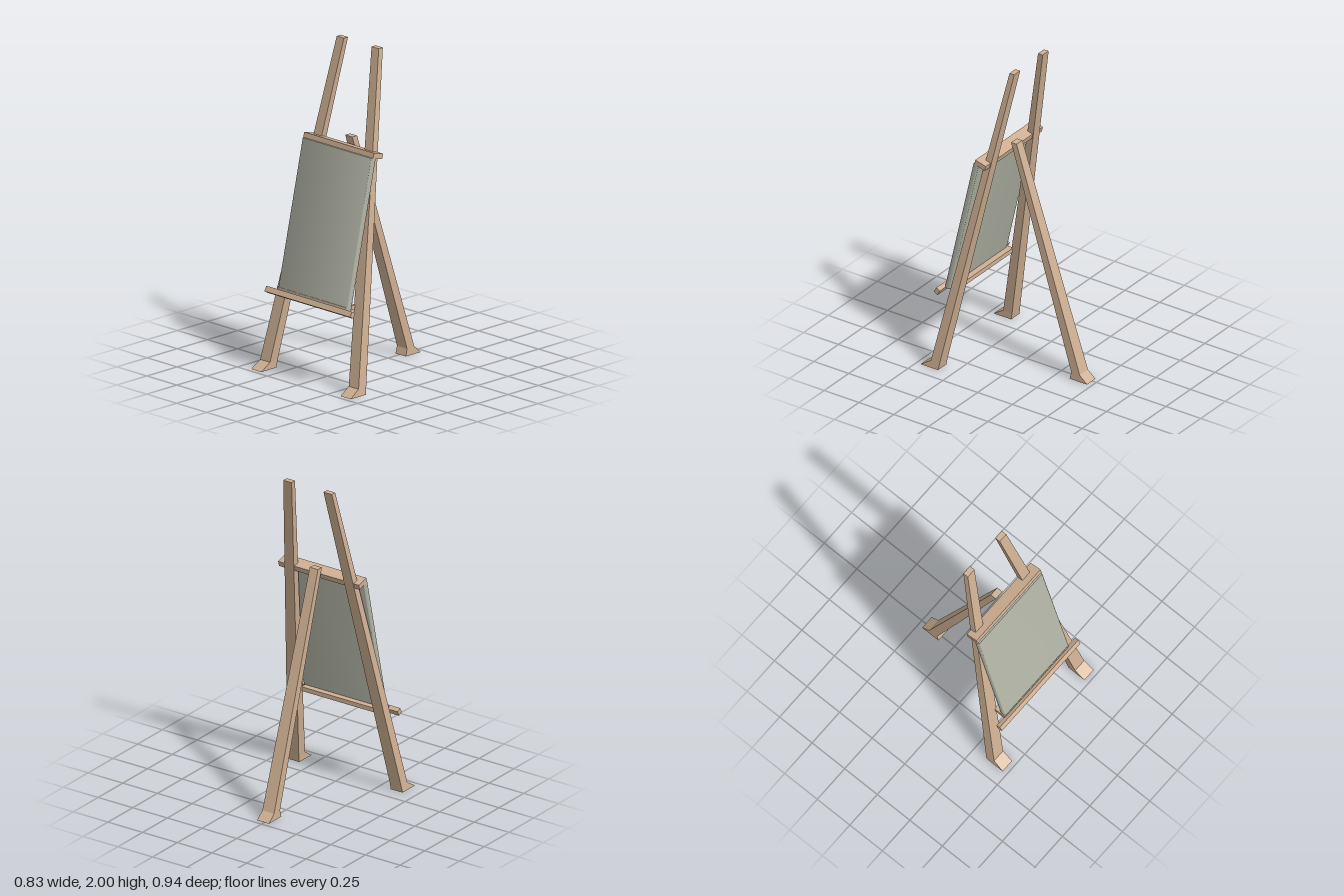
import * as THREE from 'three';
import { toCreasedNormals } from 'three/addons/utils/BufferGeometryUtils.js';

export function createModel() {
  const group = new THREE.Group();
  const wood = new THREE.MeshStandardMaterial({ color: 0xcfb093 });
  wood.name = 'wood';
  const canvasGrey = new THREE.MeshStandardMaterial({ color: 0xb3b5a7 });
  canvasGrey.name = 'canvasGrey';

  const add = (name, geometry, material = wood) => {
    const mesh = new THREE.Mesh(geometry, material);
    mesh.name = name;
    group.add(mesh);
    return mesh;
  };

  // Leg through three horizontal sections, bottom to top: [y, x0, x1, z0, z1]
  const leg = (sections) => {
    const g = new THREE.BoxGeometry(1, 1, 1, 1, 2, 1).toNonIndexed();
    const p = g.attributes.position;
    for (let i = 0; i < p.count; i++) {
      const [y, x0, x1, z0, z1] = sections[Math.round((p.getY(i) + 0.5) * 2)];
      p.setXYZ(i, p.getX(i) < 0 ? x0 : x1, y, p.getZ(i) < 0 ? z0 : z1);
    }
    g.computeVertexNormals();
    return g;
  };

  // Bar along x with a side profile of [z, y] points
  const bar = (profile, x0, x1) => {
    const shape = new THREE.Shape(profile.map(([z, y]) => new THREE.Vector2(z, y)));
    const g = new THREE.ExtrudeGeometry(shape, { depth: x1 - x0, bevelEnabled: false });
    return g.rotateY(-Math.PI / 2).translate(x1, 0, 0);
  };

  // Front legs with wedge feet, mirrored
  const front = [
    [0, 0.33, 0.415, 0.345, 0.47],
    [0.045, 0.328, 0.41, 0.337, 0.4],
    [2, 0.115, 0.175, -0.034, 0],
  ];
  add('leftFrontLeg', leg(front));
  add('rightFrontLeg', leg(front.map(([y, a, b, c, d]) => [y, -b, -a, c, d])));

  // Rear prop leg
  add('rearLeg', leg([
    [0, -0.033, 0.053, -0.47, -0.345],
    [0.045, -0.032, 0.052, -0.417, -0.357],
    [1.445, -0.019, 0.04, 0.045, 0.084],
  ]));

  // Top clamp, front lip and the shelf behind it
  add('topClamp', bar([[0.16, 1.42], [0.085, 1.4], [0.093, 1.368], [0.168, 1.388]], -0.285, 0.297));
  add('frontLip', bar([[0.4, 0.51], [0.373, 0.496], [0.39, 0.464], [0.417, 0.48]], -0.358, 0.356));
  add('shelf', new THREE.BoxGeometry(0.575, 0.027, 0.08).translate(-0.003, 0.502, 0.34));

  // Leaning canvas with rounded upright edges
  const w = 0.291, d = 0.02, r = 0.012;
  const outline = new THREE.Shape();
  outline.moveTo(-w + r, -d);
  outline.absarc(w - r, -d + r, r, -Math.PI / 2, 0);
  outline.absarc(w - r, d - r, r, 0, Math.PI / 2);
  outline.absarc(-w + r, d - r, r, Math.PI / 2, Math.PI);
  outline.absarc(-w + r, -d + r, r, Math.PI, Math.PI * 1.5);
  const height = 0.9;
  let panel = new THREE.ExtrudeGeometry(outline, { depth: height, bevelEnabled: false, curveSegments: 4 });
  panel.rotateX(-Math.PI / 2);
  const p = panel.attributes.position;
  for (let i = 0; i < p.count; i++) {
    const y = p.getY(i);
    p.setXYZ(i, p.getX(i) + 0.006, y + 0.49, p.getZ(i) + 0.364 - 0.206 * (y / height));
  }
  panel = toCreasedNormals(panel, 0.7);
  add('canvas', panel, canvasGrey);

  return group;
}
